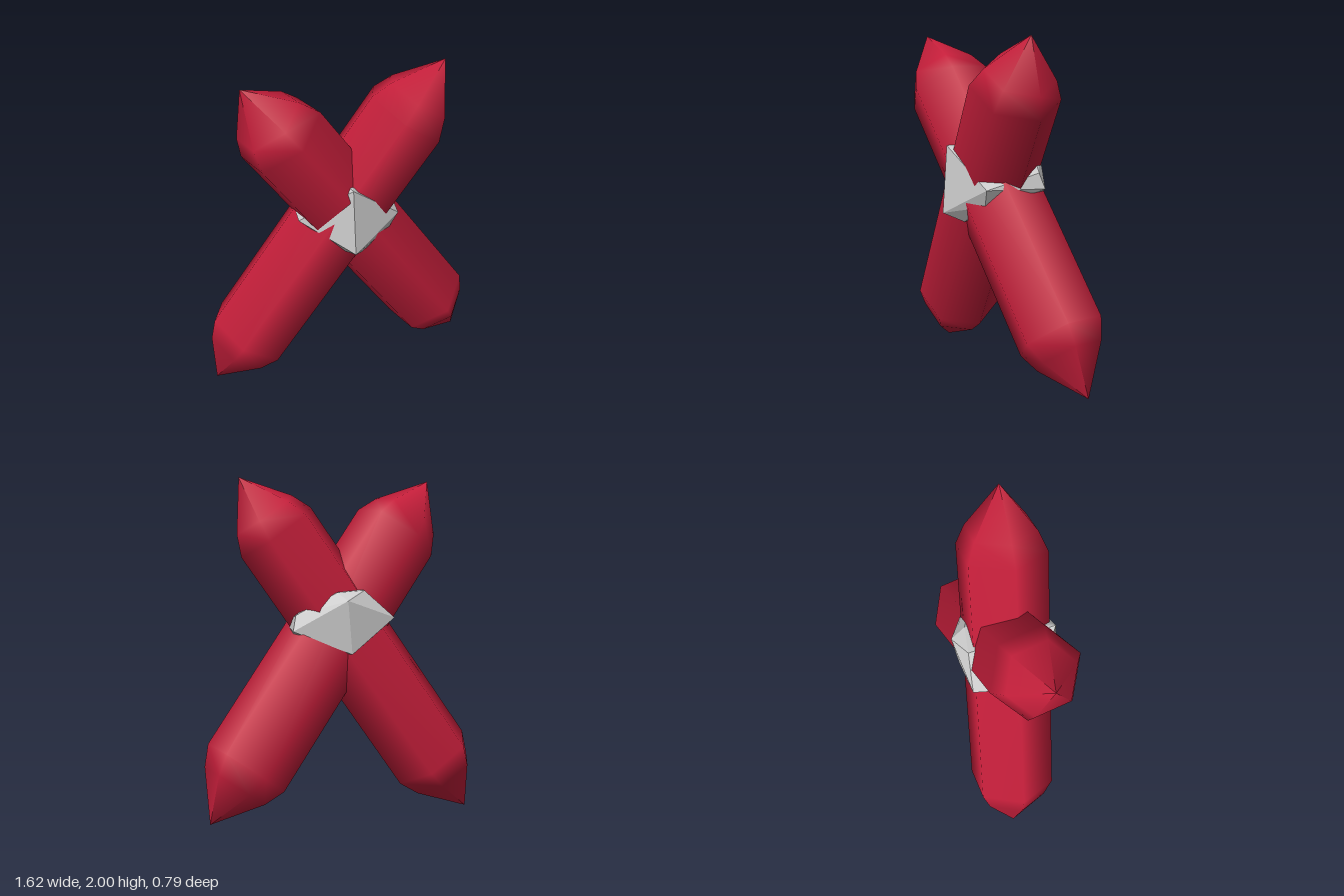
import * as THREE from 'three';
import { ConvexGeometry } from 'three/addons/geometries/ConvexGeometry.js';

const V = (x, y, z) => new THREE.Vector3(x, y, z);

// Six-sided smooth crystal with a two-step point at each end
function crystal(name, bottom, top, twist, material) {
  const axis = top.clone().sub(bottom);
  const half = axis.length() / 2;
  axis.normalize();
  const profile = [[0, -half], [0.205, 0.26 - half], [0.26, 0.38 - half],
    [0.26, half - 0.38], [0.205, half - 0.26], [0, half]]
    .map(([r, y]) => new THREE.Vector2(r, y));
  const geometry = new THREE.LatheGeometry(profile, 6, THREE.MathUtils.degToRad(twist));

  // Local y runs along the axis, local x stays level with the front plane
  const side = V(axis.y, -axis.x, 0).normalize();
  const front = side.clone().cross(axis);
  geometry.applyMatrix4(new THREE.Matrix4().makeBasis(side, axis, front));

  const mesh = new THREE.Mesh(geometry, material);
  mesh.name = name;
  mesh.position.copy(bottom).add(top).multiplyScalar(0.5);
  return mesh;
}

export function createModel() {
  const model = new THREE.Group();
  model.name = 'crossedCrystals';
  const red = new THREE.MeshStandardMaterial({ color: 0xc41e3a });
  const grey = new THREE.MeshStandardMaterial({ color: 0xcccccc, flatShading: true });

  // Two crossing crystals
  model.add(crystal('uprightCrystal', V(-0.79, 0, 0.015), V(0.58, 2, 0.04), -17, red));
  model.add(crystal('leaningCrystal', V(0.79, 0.035, -0.22), V(-0.58, 1.98, 0.22), 17, red));

  // Faceted stone clasping the crossing
  const corners = [
    // front
    V(0.01, 1.37, 0.31), V(-0.02, 1.35, 0.28), V(0.02, 0.98, 0.34),
    V(0.08, 0.93, 0.23), V(-0.02, 0.95, 0.24),
    // back
    V(0, 1.31, -0.28), V(-0.03, 1.0, -0.25), V(0.05, 1.35, -0.2), V(-0.11, 1.36, -0.19),
    // left side
    V(0.3, 1.14, 0.18), V(0.25, 1.04, 0.17), V(0.28, 1.22, -0.15), V(0.3, 1.13, -0.18),
    // right side
    V(-0.28, 1.15, 0.19), V(-0.29, 1.2, -0.18), V(-0.25, 1.09, 0.05),
  ];
  const stone = new THREE.Mesh(new ConvexGeometry(corners), grey);
  stone.name = 'centreStone';
  model.add(stone);
  return model;
}
